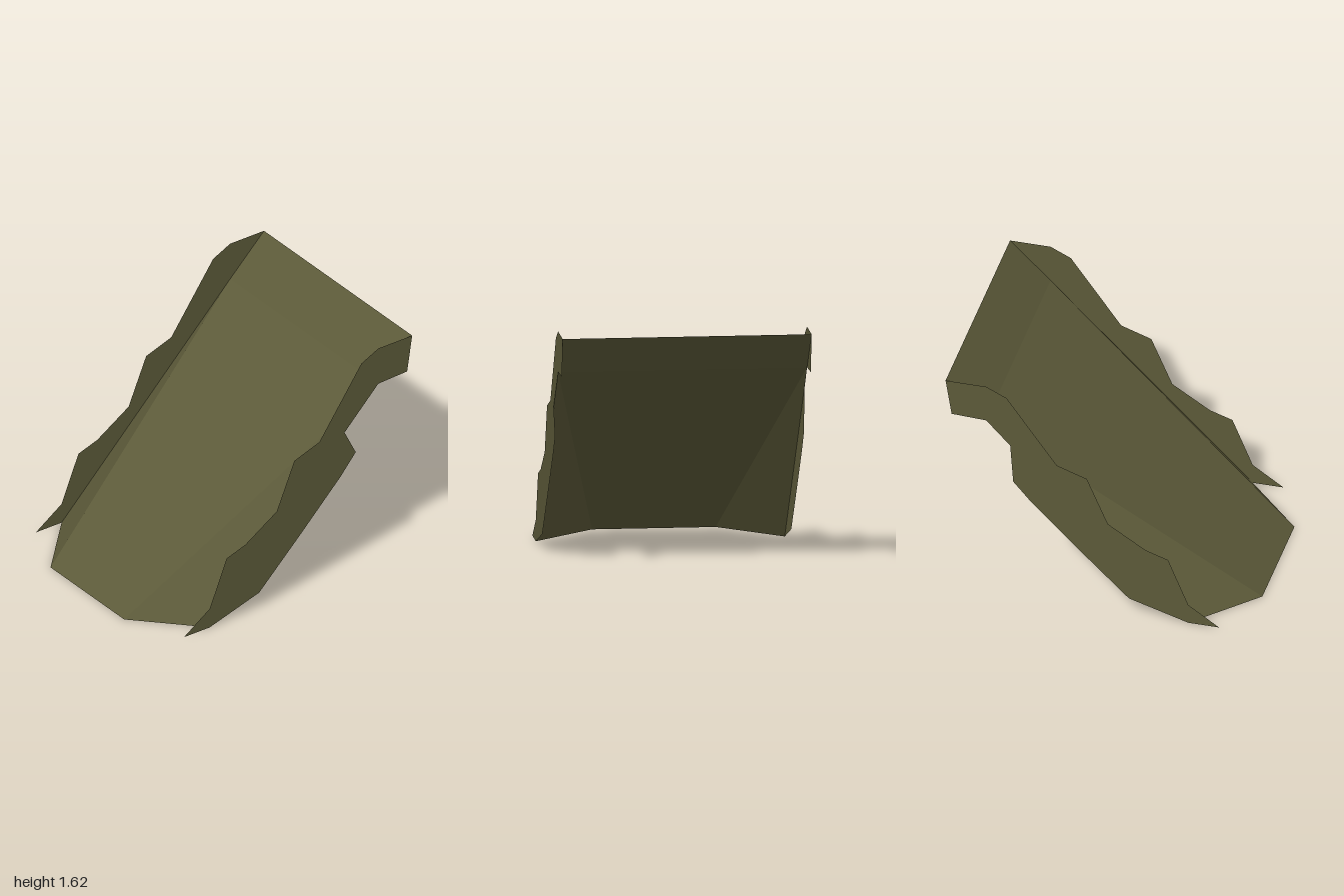
import * as THREE from 'three';

export function createModel() {
  const model = new THREE.Group();
  model.name = 'ramp';
  const olive = new THREE.MeshStandardMaterial({ color: 0x5c5a39, side: THREE.DoubleSide });
  olive.name = 'olive';

  const add = (name, geometry) => {
    const mesh = new THREE.Mesh(geometry, olive);
    mesh.name = name;
    model.add(mesh);
    return mesh;
  };

  // Flat panel from a fan of corners, counter-clockwise from its front
  const panel = (name, corners) => {
    const points = [];
    for (let i = 1; i < corners.length - 1; i++) points.push(...corners[0], ...corners[i], ...corners[i + 1]);
    const geometry = new THREE.BufferGeometry();
    geometry.setAttribute('position', new THREE.Float32BufferAttribute(points, 3));
    geometry.computeVertexNormals();
    return add(name, geometry);
  };

  // Sloping deck: steep top strip, long tapering slope, folded corners
  const W = 0.805;
  panel('topSlope', [[-W, 1.35, -0.73], [W, 1.35, -0.73], [W, 1.615, -1], [-W, 1.615, -1]]);
  panel('mainSlope', [[-0.4, 0, 1], [0.4, 0, 1], [W, 1.35, -0.73], [-W, 1.35, -0.73]]);
  panel('leftFold', [[0.4, 0, 1], [W, 0, 0.615], [W, 1.35, -0.73]]);
  panel('rightFold', [[-W, 0, 0.615], [-0.4, 0, 1], [-W, 1.35, -0.73]]);

  // Jagged side plates as [z, y] outlines; only the rear notch differs
  const upper = [[0.82, 0], [0.615, 0.14], [0.48, 0.47], [0.33, 0.52], [0.08, 0.68], [-0.06, 1.01],
    [-0.26, 1.08], [-0.595, 1.55], [-0.73, 1.615], [-1, 1.615], [-0.96, 1.36], [-0.73, 1.35]];
  const lower = [[-0.55, 0.9], [-0.43, 0.76], [-0.12, 0.45], [0.22, 0.12], [0.615, 0]];
  const sides = [['leftSide', 1, [-0.46, 1.08]], ['rightSide', -1, [-0.57, 1.18]]];
  for (const [name, side, notch] of sides) {
    const outline = [...upper, notch, ...lower].map(([z, y]) => new THREE.Vector2(-side * z, y));
    const plate = add(name, new THREE.ShapeGeometry(new THREE.Shape(outline)));
    plate.rotation.y = side * Math.PI / 2;
    plate.position.x = side * W;
  }
  return model;
}
